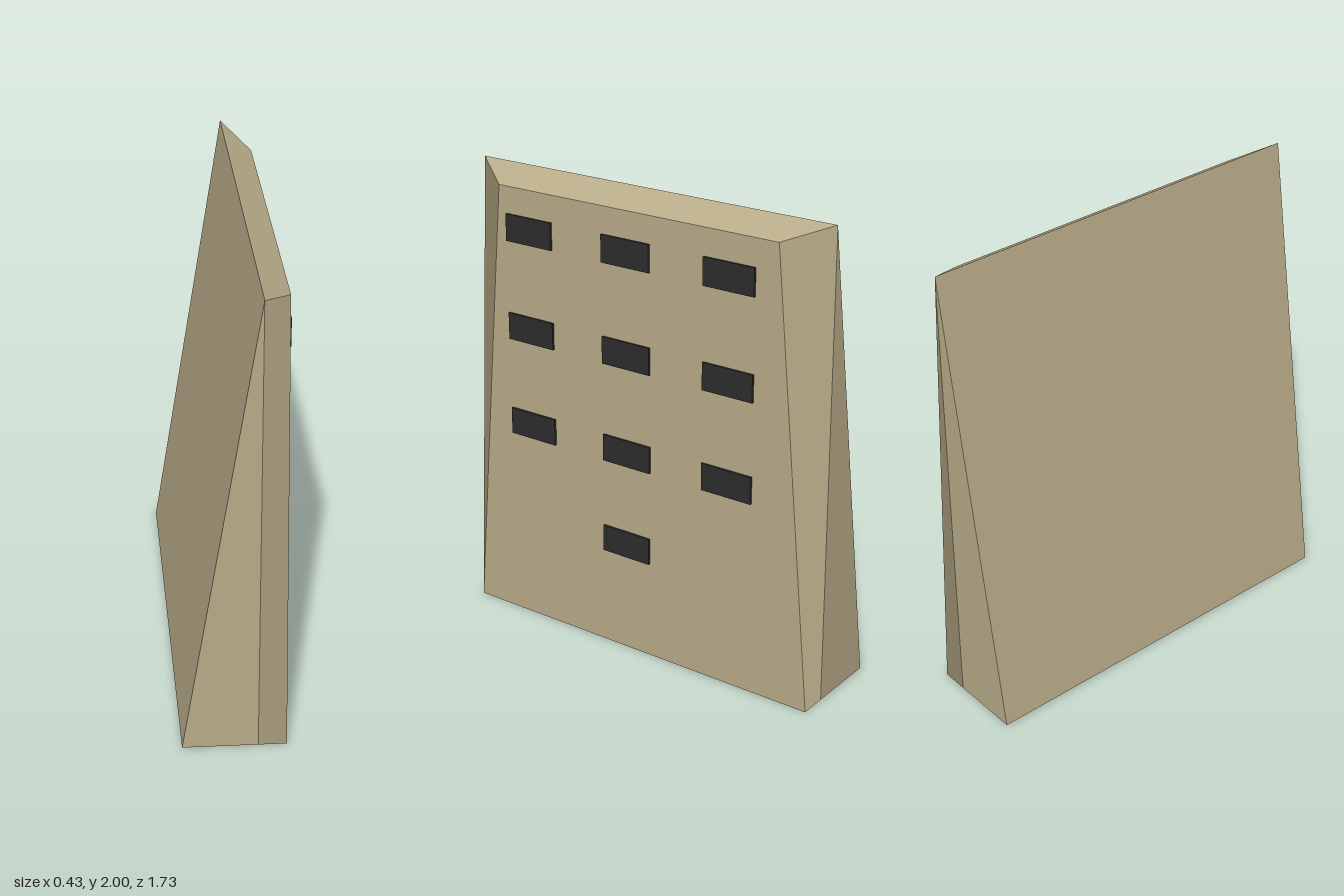
import * as THREE from 'three';

// Flat-shaded solid from polygons; each polygon gets one shared normal.
function polySolid(polygons) {
  const pos = [], nor = [];
  for (const poly of polygons) {
    const n = new THREE.Vector3();
    poly.forEach((p, i) => n.add(new THREE.Vector3().crossVectors(p, poly[(i + 1) % poly.length])));
    n.normalize();
    for (let i = 1; i < poly.length - 1; i++) {
      for (const p of [poly[0], poly[i], poly[i + 1]]) {
        pos.push(p.x, p.y, p.z);
        nor.push(n.x, n.y, n.z);
      }
    }
  }
  const g = new THREE.BufferGeometry();
  g.setAttribute('position', new THREE.Float32BufferAttribute(pos, 3));
  g.setAttribute('normal', new THREE.Float32BufferAttribute(nor, 3));
  return g;
}

export function createModel() {
  const model = new THREE.Group();
  model.name = 'keypad';
  const bodyMat = new THREE.MeshStandardMaterial({ color: 0xb8ab88 });
  const keyMat = new THREE.MeshStandardMaterial({ color: 0x2c2c2c });

  // Side profile: x, y, half depth in z
  const profile = {
    heel: [-0.218, 0.01, 0.865],
    seam: [0.09, 0.003, 0.865],
    toe: [0.206, 0, 0.865],
    brow: [0.206, 1.93, 0.687],
    peak: [0.09, 2, 0.865],
  };
  const side = (s) => Object.fromEntries(
    Object.entries(profile).map(([k, [x, y, z]]) => [k, new THREE.Vector3(x, y, s * z)]));
  const l = side(1), r = side(-1);

  // Wedge body with bevelled sides and top
  const body = new THREE.Mesh(polySolid([
    [l.heel, l.seam, l.peak], [r.heel, r.peak, r.seam],              // side walls
    [l.toe, l.brow, l.peak, l.seam], [r.toe, r.seam, r.peak, r.brow], // side bevels
    [l.toe, r.toe, r.brow, l.brow],                                  // key face
    [l.brow, r.brow, r.peak, l.peak],                                // top bevel
    [l.heel, l.peak, r.peak, r.heel],                                // sloping back
    [l.heel, r.heel, r.toe, l.toe],                                  // base
  ]), bodyMat);
  body.name = 'body';
  model.add(body);

  // Three rows of three keys and a single key below
  const keyGeo = new THREE.BoxGeometry(0.02, 0.116, 0.238);
  const rows = [
    [1.757, [0.53, 0.032, -0.467]],
    [1.329, [0.53, 0.032, -0.467]],
    [0.901, [0.53, 0.032, -0.467]],
    [0.487, [0.036]],
  ];
  const keys = new THREE.Group();
  keys.name = 'keys';
  for (const [y, columns] of rows) {
    for (const z of columns) {
      const key = new THREE.Mesh(keyGeo, keyMat);
      key.name = 'key';
      key.position.set(0.206, y, z);
      keys.add(key);
    }
  }
  model.add(keys);
  return model;
}
